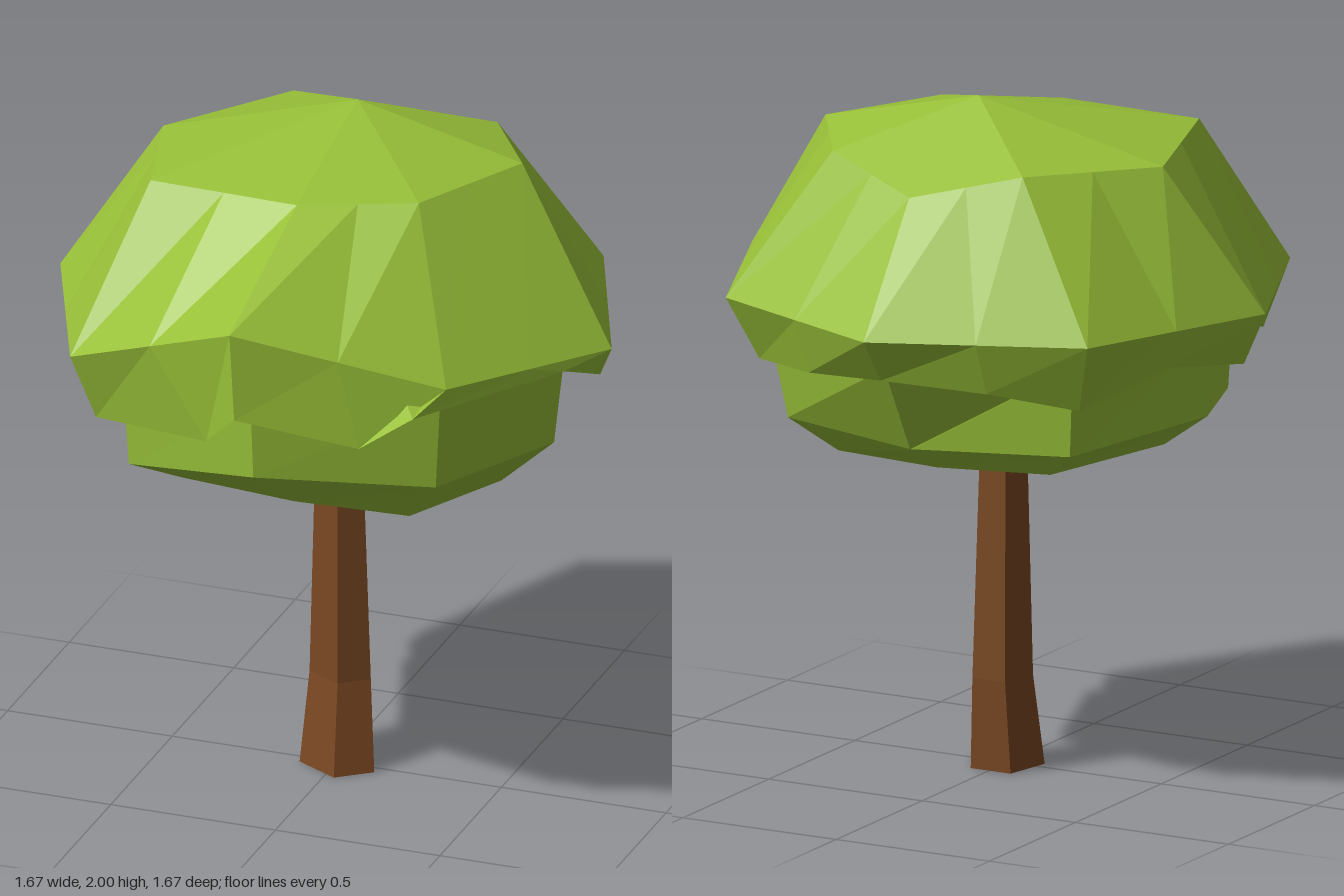
import * as THREE from 'three';

// Skin between rings of [x, y, z] points, listed bottom to top; a ring of one point is a tip.
function loft(rings) {
  const pos = [];
  const n = Math.max(...rings.map((r) => r.length));
  const at = (r, j) => (r.length === 1 ? r[0] : r[j % n]);
  for (let i = 0; i < rings.length - 1; i++) {
    const lo = rings[i], hi = rings[i + 1];
    for (let j = 0; j < n; j++) {
      const a = at(lo, j), b = at(lo, j + 1), c = at(hi, j + 1), d = at(hi, j);
      if (lo.length > 1) pos.push(...a, ...b, ...c);
      if (lo.length === 1) pos.push(...a, ...c, ...d);
      else if (hi.length > 1) pos.push(...a, ...c, ...d);
    }
  }
  const geo = new THREE.BufferGeometry();
  geo.setAttribute('position', new THREE.Float32BufferAttribute(pos, 3));
  geo.computeVertexNormals();
  return geo;
}

// Doubles the points of a ring by adding edge midpoints.
const split = (ring) => ring.flatMap((p, i) => {
  const q = ring[(i + 1) % ring.length];
  return [p, p.map((v, k) => (v + q[k]) / 2)];
});

export function createModel() {
  const tree = new THREE.Group();
  tree.name = 'tree';
  const leaf = new THREE.MeshStandardMaterial({ color: 0x98c038, flatShading: true, side: THREE.DoubleSide });
  const bark = new THREE.MeshStandardMaterial({ color: 0x7a4822, flatShading: true });
  const add = (name, rings, material) => {
    const mesh = new THREE.Mesh(loft(rings), material);
    mesh.name = name;
    tree.add(mesh);
  };

  // Trunk: five-sided, flared and bent near the foot
  const foot = [[0.02, 0.105], [0.115, 0.03], [0.05, -0.11], [-0.08, -0.11], [-0.11, 0.035]];
  const trunkRing = (y, s, cx, cz) => foot.map(([x, z]) => [cx + x * s, y, cz + z * s]);
  add('trunk', [
    [[0.01, 0, 0]],
    trunkRing(0, 1, 0.01, 0),
    trunkRing(0.27, 0.82, 0.005, -0.035),
    trunkRing(0.95, 0.64, 0, -0.036),
    [[0, 0.95, -0.036]],
  ], bark);

  // All leaf rings start at the front (+z) and run towards +x.
  // Lower canopy
  add('lowerCanopy', [
    [[0.04, 0.87, -0.05]],
    [[0, 0.96, 0.34], [0.34, 0.96, 0.32], [0.5, 0.96, 0], [0.34, 0.96, -0.38],
      [0, 0.96, -0.41], [-0.34, 0.97, -0.36], [-0.51, 1.0, 0], [-0.34, 0.98, 0.34]],
    [[0, 1.18, 0.68], [0.48, 1.14, 0.48], [0.66, 1.105, 0], [0.46, 1.06, -0.46],
      [0, 1.05, -0.57], [-0.46, 1.06, -0.46], [-0.65, 1.1, 0], [-0.46, 1.055, 0.46]],
    [[0, 1.41, 0.7], [0.5, 1.41, 0.5], [0.69, 1.37, 0], [0.5, 1.33, -0.5],
      [0, 1.32, -0.72], [-0.48, 1.33, -0.48], [-0.67, 1.34, 0], [-0.47, 1.33, 0.48]],
    [[0, 1.5, 0]],
  ], leaf);

  // Upper canopy: ragged hem, widest ring, shoulder ring and tip
  const hem = [
    [0, 1.425, 0.835], [0.32, 1.32, 0.68], [0.47, 1.42, 0.64], [0.75, 1.41, 0.16],
    [0.8, 1.34, 0], [0.74, 1.37, -0.16], [0.52, 1.24, -0.52], [0.28, 1.26, -0.66],
    [0, 1.29, -0.74], [-0.3, 1.27, -0.66], [-0.53, 1.22, -0.53], [-0.68, 1.31, -0.28],
    [-0.77, 1.27, 0], [-0.69, 1.34, 0.24], [-0.53, 1.225, 0.54], [-0.12, 1.3, 0.74],
  ];
  const widest = [
    [-0.02, 1.68, 0.82], [0.53, 1.475, 0.53], [0.835, 1.425, 0], [0.59, 1.425, -0.59],
    [0, 1.425, -0.84], [-0.59, 1.425, -0.59], [-0.84, 1.425, 0], [-0.59, 1.425, 0.59],
  ];
  const shoulder = [
    [0, 1.88, 0.325], [0.32, 1.88, 0.19], [0.5, 1.88, -0.17], [0.32, 1.86, -0.45],
    [0, 1.79, -0.575], [-0.3, 1.86, -0.45], [-0.57, 1.85, -0.115], [-0.45, 1.88, 0.31],
  ];
  add('upperCanopy', [
    hem.map(([x, y, z]) => [x * 0.75, y + 0.06, z * 0.75]),
    hem,
    split(widest),
    split(shoulder),
    [[0, 2, -0.17]],
  ], leaf);

  return tree;
}
